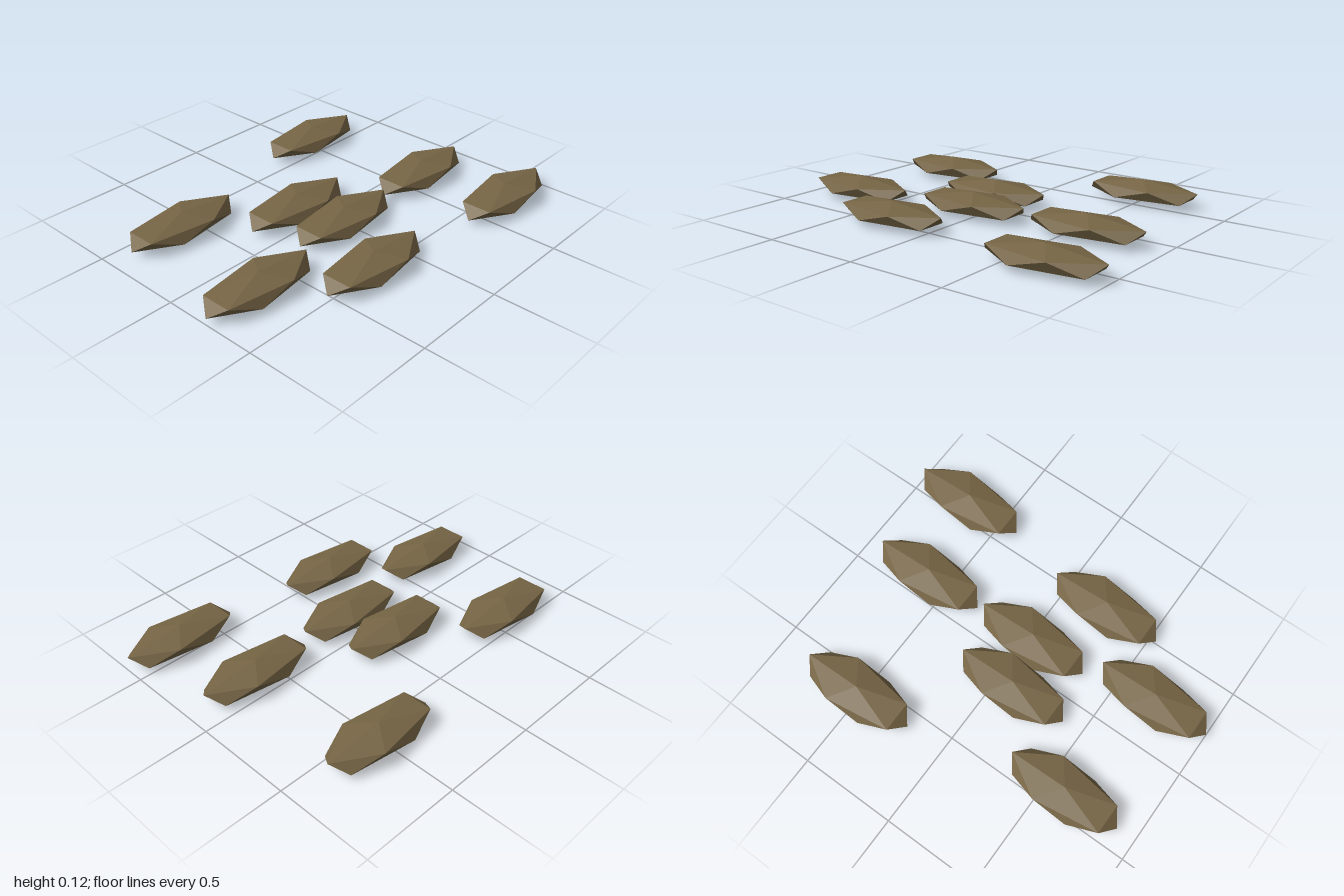
import * as THREE from 'three';

// Flat steppingstones: centre x, centre z
const PLACES = [
  [0.51, -0.587], [-0.596, -0.401], [-0.093, -0.12], [-0.03, 0.139],
  [-0.695, 0.233], [-0.233, 0.498], [0.607, 0.118], [0.695, 0.585],
];

export function createModel() {
  const group = new THREE.Group();
  group.name = 'steppingStones';

  const stoneBrown = new THREE.MeshStandardMaterial({ color: 0x766545, flatShading: true });
  stoneBrown.name = 'stoneBrown';

  // Icosahedron stood on a corner, upper ring pointing to +x, then squashed
  const stoneShape = new THREE.IcosahedronGeometry(1, 0);
  stoneShape.rotateZ(-Math.atan(2 / (1 + Math.sqrt(5))));
  stoneShape.scale(0.341, 0.058, 0.151);
  stoneShape.translate(0, 0.058, 0);

  PLACES.forEach(([x, z], i) => {
    const stone = new THREE.Mesh(stoneShape, stoneBrown);
    stone.name = `stone${i + 1}`;
    stone.position.set(x, 0, z);
    group.add(stone);
  });
  return group;
}
